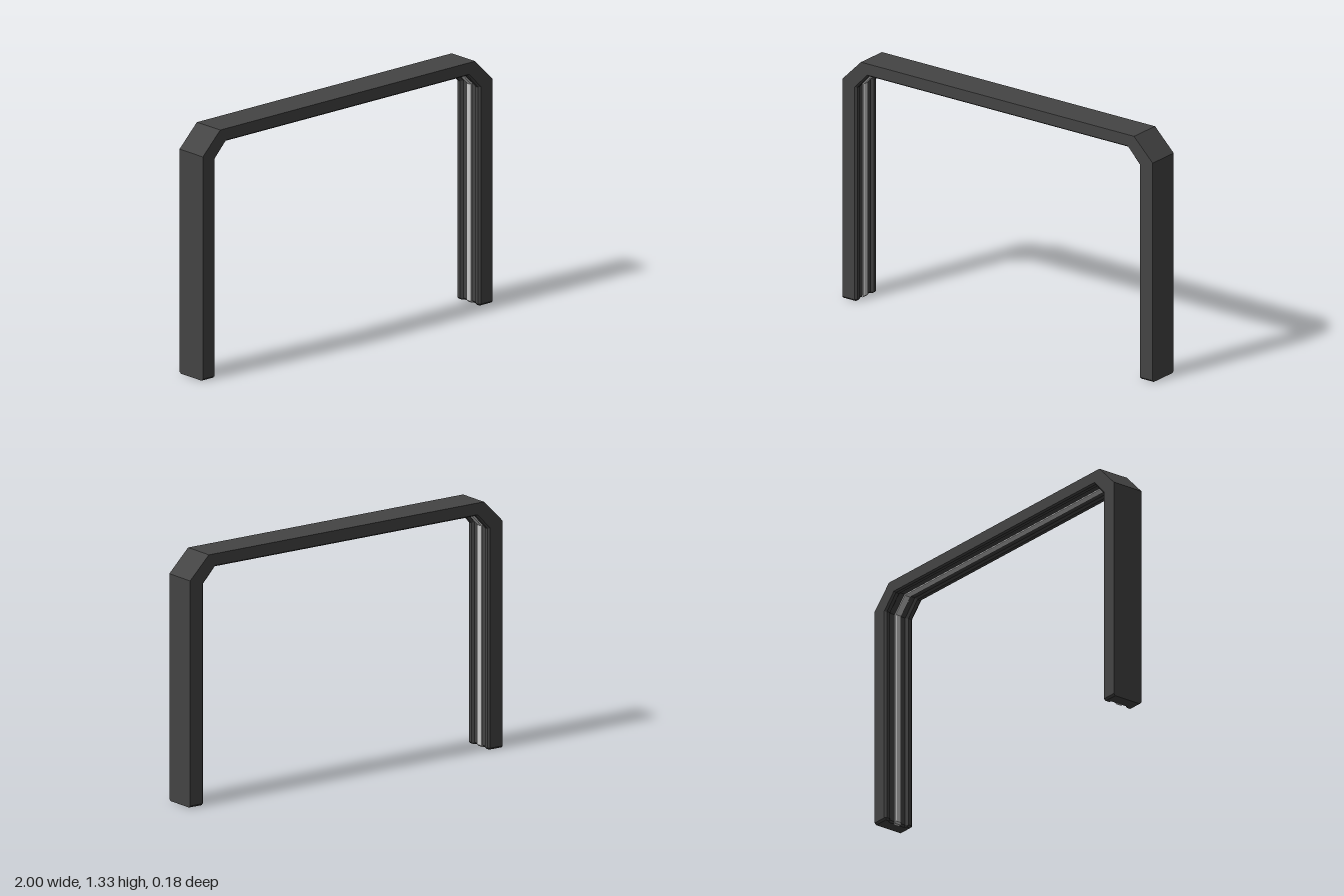
import * as THREE from 'three';

// Matching outer and inner outlines of the arch, foot to foot
const outer = [[-1, 0], [-1, 0.01], [-1, 1.21], [-0.88, 1.33], [0.88, 1.33], [1, 1.21], [1, 0.01], [1, 0]];
const inner = [[-0.92, 0], [-0.91, 0.01], [-0.91, 1.18], [-0.835, 1.26], [0.835, 1.26], [0.91, 1.18], [0.91, 0.01], [0.92, 0]];

// Sweep a section of [t, z] points (t: 0 outer face, 1 inner face) along the arch with mitred corners
function sweepArch(section, footDepth) {
  const pos = [];
  const last = outer.length - 1;
  const rings = outer.map((o, i) => section.map(([t, z]) => {
    const limit = i === 0 || i === last ? footDepth : 1;
    return [
      o[0] + (inner[i][0] - o[0]) * t,
      o[1] + (inner[i][1] - o[1]) * t,
      THREE.MathUtils.clamp(z, -limit, limit),
    ];
  }));
  const n = section.length;
  for (let i = 0; i < last; i++) {
    for (let j = 0; j < n; j++) {
      const k = (j + 1) % n;
      const a = rings[i][j], b = rings[i][k], c = rings[i + 1][k], d = rings[i + 1][j];
      pos.push(...a, ...b, ...c, ...a, ...c, ...d);
    }
  }
  // Close both feet
  const flat = section.map(([t, z]) => new THREE.Vector2(t, z));
  for (const [a, b, c] of THREE.ShapeUtils.triangulateShape(flat, [])) {
    const s = rings[0], e = rings[last];
    pos.push(...s[a], ...s[c], ...s[b], ...e[a], ...e[b], ...e[c]);
  }
  const geo = new THREE.BufferGeometry();
  geo.setAttribute('position', new THREE.Float32BufferAttribute(pos, 3));
  geo.computeVertexNormals();
  return geo;
}

// Mirror half a section across z = 0; runs from the outer face round to the inner face
function mirrored(half) {
  return [...half, ...half.slice().reverse().map(([t, z]) => [t, -z])];
}

function addPart(group, name, half, footDepth, color) {
  const material = new THREE.MeshStandardMaterial({ color, flatShading: true, side: THREE.DoubleSide });
  const mesh = new THREE.Mesh(sweepArch(mirrored(half), footDepth), material);
  mesh.name = name;
  group.add(mesh);
}

export function createModel() {
  const group = new THREE.Group();
  group.name = 'archFrame';

  // Frame with bevelled inner edges and a shallow channel
  addPart(group, 'frame', [[0, 0.09], [0.89, 0.09], [1, 0.08], [1, 0.06], [0.84, 0.05], [0.84, 0.02]], 0.08, 0x444444);

  // Light strip running along the channel
  addPart(group, 'lightStrip', [[0.8, 0.018], [0.93, 0.018], [0.97, 0.012]], 0.018, 0xffffff);

  // Outward-facing winding check: section order must give a positive volume
  group.traverse((part) => {
    if (!part.isMesh) return;
    const p = part.geometry.attributes.position;
    const [a, b, c] = [new THREE.Vector3(), new THREE.Vector3(), new THREE.Vector3()];
    let volume = 0;
    for (let i = 0; i < p.count; i += 3) {
      a.fromBufferAttribute(p, i);
      b.fromBufferAttribute(p, i + 1);
      c.fromBufferAttribute(p, i + 2);
      volume += a.dot(b.cross(c));
    }
    if (volume < 0) {
      for (let i = 0; i < p.count; i += 3) {
        b.fromBufferAttribute(p, i + 1);
        c.fromBufferAttribute(p, i + 2);
        p.setXYZ(i + 1, c.x, c.y, c.z);
        p.setXYZ(i + 2, b.x, b.y, b.z);
      }
      part.geometry.computeVertexNormals();
    }
  });
  return group;
}
